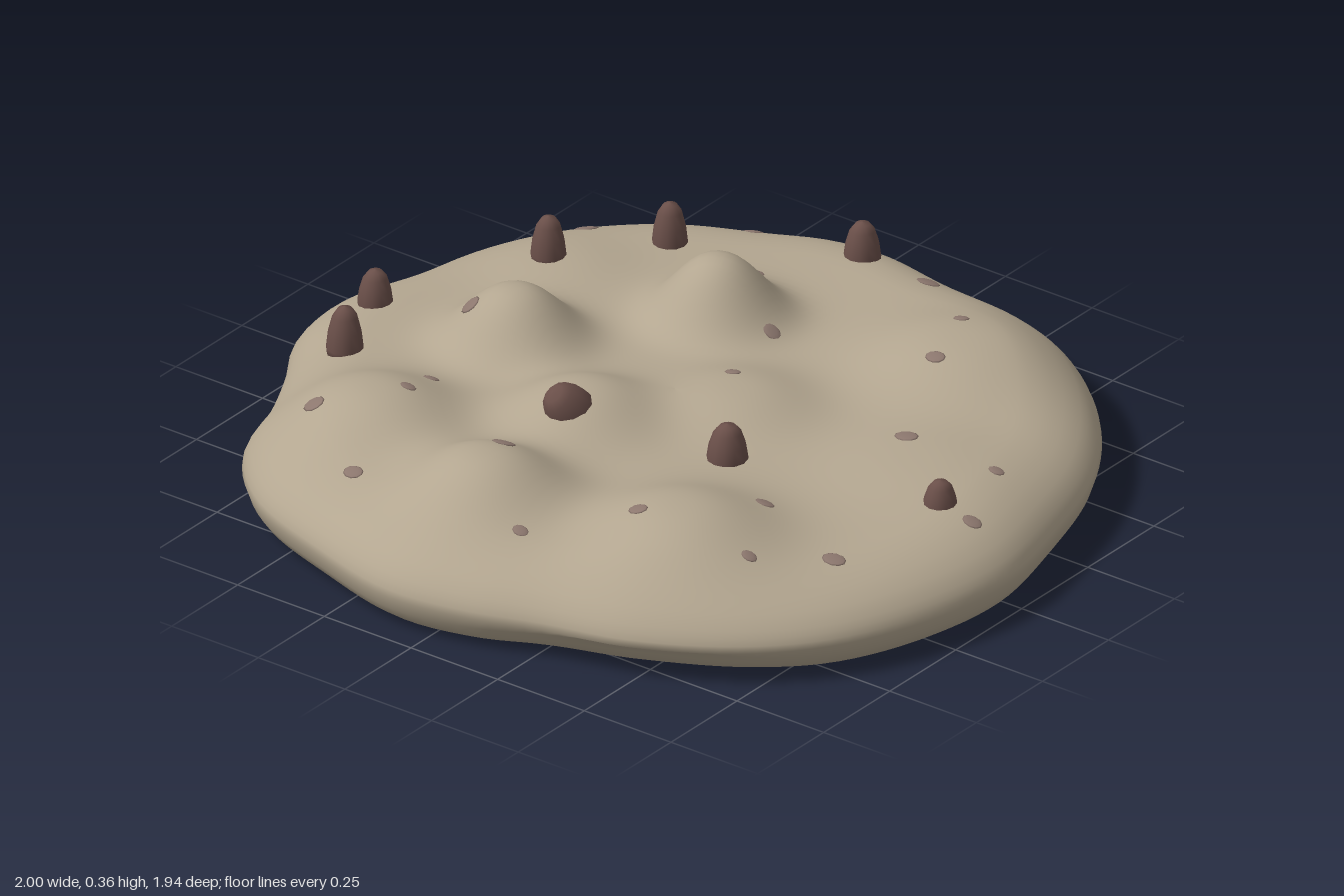
import * as THREE from 'three';

// Uneven outline of the cookie, as (x, z) points running from +x towards +z
const OUTLINE = [
  [1, 0.05], [0.97, 0.28], [0.87, 0.52], [0.72, 0.69], [0.5, 0.82], [0.28, 0.88], [0.1, 0.94], [-0.1, 0.965],
  [-0.35, 0.9], [-0.6, 0.8], [-0.76, 0.64], [-0.82, 0.47], [-0.9, 0.3], [-0.98, 0.16], [-1, 0], [-0.94, -0.22],
  [-0.9, -0.4], [-0.79, -0.61], [-0.6, -0.79], [-0.4, -0.89], [-0.25, -0.955], [-0.1, -0.97], [0.1, -0.94],
  [0.32, -0.92], [0.5, -0.85], [0.7, -0.69], [0.86, -0.46], [0.95, -0.2],
];
// Bumps on the top: x, z, height, radius
const BUMPS = [
  [-0.18, -0.4, 0.16, 0.135], [-0.48, -0.02, 0.147, 0.145], [-0.08, 0.61, 0.12, 0.18], [-0.13, 0.19, 0.085, 0.17],
  [0.4, 0.5, 0.08, 0.21], [0.4, -0.56, 0.06, 0.22], [-0.5, 0.48, 0.085, 0.19], [0.12, -0.08, 0.05, 0.17],
  [-0.62, -0.36, 0.025, 0.16], [0.62, -0.1, 0.02, 0.2],
];
// Standing chips: x, z, y of the tip, radius
const CHIPS = [
  [-0.1, -0.84, 0.295, 0.043], [-0.48, -0.61, 0.32, 0.041], [-0.64, -0.36, 0.34, 0.041], [-0.85, 0.02, 0.295, 0.041],
  [-0.77, 0.24, 0.32, 0.043], [0.25, 0.13, 0.3, 0.048], [0.78, 0.02, 0.28, 0.041],
];
// Small specks level with the surface: x, z
const SPECKS = [
  [0.33, -0.65], [0.4, -0.46], [0.09, -0.84], [-0.23, -0.61], [-0.39, -0.81], [-0.69, -0.57], [0.06, -0.14],
  [-0.01, -0.38], [0.53, -0.18], [0.79, -0.18], [0.88, 0.03], [-0.56, 0.04],
  [-0.49, 0.28], [0.48, 0.29], [0.74, 0.37], [0.61, 0.52], [0.32, 0.56], [-0.09, 0.53], [0.11, 0.73],
  [-0.38, 0.72], [-0.6, 0.58], [-0.45, 0.42],
];

const SEGMENTS = 144;
const rim = new THREE.CatmullRomCurve3(OUTLINE.map(([x, z]) => new THREE.Vector3(x, 0, z)), true)
  .getSpacedPoints(SEGMENTS).slice(0, SEGMENTS);

// Top surface: rounded edge plus blunt bumps; s is the fraction of the way to the rim
function topHeight(x, z, s) {
  const t = THREE.MathUtils.clamp((s - 0.8) / 0.2, 0, 1);
  const edge = Math.pow(1 - t * t, 0.55);
  let y = 0.212 + 0.006 * Math.sin(7 * x + 2) * Math.cos(6 * z);
  for (const [bx, bz, h, r] of BUMPS) y += h * Math.exp(-Math.pow(Math.hypot(x - bx, z - bz) / r, 2.5));
  return 0.095 + (y - 0.095) * edge;
}

function surfaceY(x, z) {
  const d = Math.hypot(x, z) || 1;
  let best = rim[0], dot = -2;
  for (const p of rim) {
    const c = (p.x * x + p.z * z) / (p.length() * d);
    if (c > dot) { dot = c; best = p; }
  }
  return topHeight(x, z, d / best.length());
}

function surfaceNormal(x, z) {
  const e = 0.02;
  return new THREE.Vector3(
    surfaceY(x - e, z) - surfaceY(x + e, z), 2 * e, surfaceY(x, z - e) - surfaceY(x, z + e)).normalize();
}

// Dough: rings from the centre of the recessed underside, round the rolled rim, to the centre of the top
function doughGeometry() {
  const under = [
    [0, 0.06], [0.45, 0.06], [0.77, 0.057], [0.81, 0.05], [0.84, 0.034], [0.865, 0.016], [0.89, 0.008],
    [0.92, 0.008], [0.945, 0.016], [0.97, 0.034], [0.988, 0.06],
  ];
  const top = [1, 0.997, 0.99, 0.98, 0.965, 0.95, 0.93, 0.91, 0.885, 0.86];
  for (let i = 32; i >= 0; i--) top.push(0.83 * i / 32);
  const pos = [], index = [];
  const addRing = (s, height) => rim.forEach((p) => {
    const x = p.x * s, z = p.z * s;
    pos.push(x, height(x, z, p), z);
  });
  for (const [s, y] of under) {
    // the front left edge curls up off the ground
    addRing(s, (x, z, p) => {
      const lift = Math.exp(-(((Math.atan2(p.z, p.x) - 1.0) / 0.33) ** 2));
      return y + lift * 0.035 * THREE.MathUtils.smoothstep(s, 0.87, 0.97);
    });
  }
  for (const s of top) addRing(s, (x, z) => topHeight(x, z, s));
  for (let i = 0; i < under.length + top.length - 1; i++) {
    for (let j = 0; j < SEGMENTS; j++) {
      const k = (j + 1) % SEGMENTS, a = i * SEGMENTS, b = a + SEGMENTS;
      index.push(a + j, b + j, a + k, b + j, b + k, a + k);
    }
  }
  const g = new THREE.BufferGeometry();
  g.setAttribute('position', new THREE.Float32BufferAttribute(pos, 3));
  g.setIndex(index);
  g.computeVertexNormals();
  return g;
}

// Chip: blunt bullet of unit radius and unit height
function chipGeometry() {
  const profile = [[0, 0], [0.95, 0], [1, 0.2], [0.9, 0.5], [0.68, 0.8], [0.4, 0.95], [0, 1]];
  return new THREE.LatheGeometry(profile.map(([r, y]) => new THREE.Vector2(r, y)), 12);
}

export function createModel() {
  const model = new THREE.Group();
  model.name = 'cookie';
  const doughMat = new THREE.MeshStandardMaterial({ color: 0xb3a690 });
  const chipMat = new THREE.MeshStandardMaterial({ color: 0x6a4f49 });
  const speckMat = new THREE.MeshStandardMaterial({ color: 0x8c776e });
  const add = (name, geometry, material) => {
    const mesh = new THREE.Mesh(geometry, material);
    mesh.name = name;
    model.add(mesh);
    return mesh;
  };

  add('dough', doughGeometry(), doughMat);

  const chipGeo = chipGeometry();
  CHIPS.forEach(([x, z, tip, r], i) => {
    const base = Math.min(surfaceY(x, z) - 0.02, tip - 0.09);
    const chip = add('chip' + (i + 1), chipGeo, chipMat);
    chip.position.set(x, base, z);
    chip.scale.set(r, tip - base, r * 1.05);
  });

  // Larger chip leaning out of the front of the middle bump
  const leaning = add('leaningChip', chipGeo, chipMat);
  leaning.position.set(-0.11, 0.25, 0.235);
  leaning.scale.set(0.055, 0.1, 0.06);
  leaning.rotation.set(0.65, 0, 0.2);

  const speckGeo = new THREE.SphereGeometry(1, 10, 6);
  const up = new THREE.Vector3(0, 1, 0);
  SPECKS.forEach(([x, z], i) => {
    const speck = add('speck' + (i + 1), speckGeo, speckMat);
    speck.position.set(x, surfaceY(x, z), z);
    speck.quaternion.setFromUnitVectors(up, surfaceNormal(x, z));
    const r = 0.017 + 0.004 * (i % 3);
    speck.scale.set(r * 1.2, 0.004, r);
  });
  return model;
}
